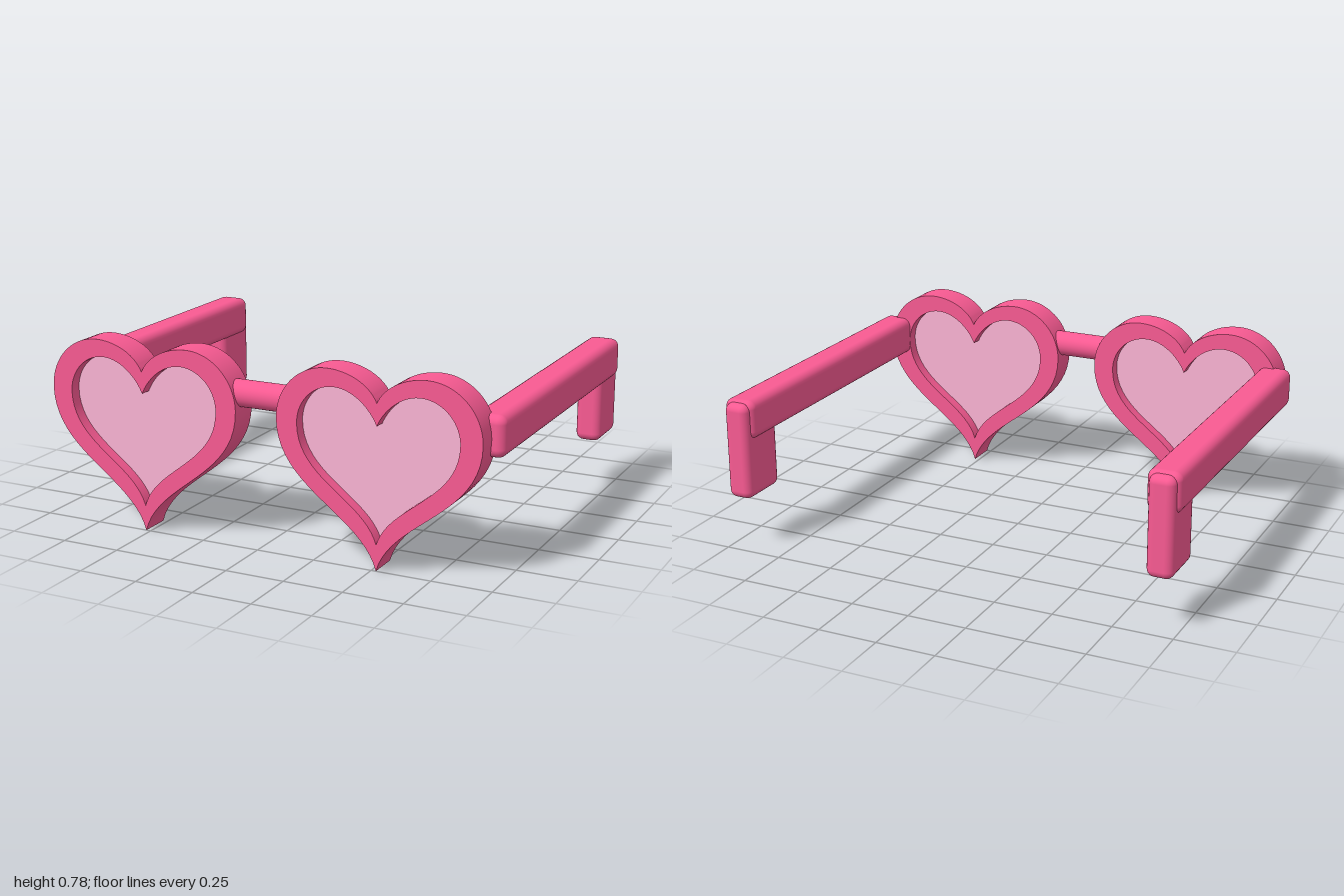
import * as THREE from 'three';
import { RoundedBoxGeometry } from 'three/addons/geometries/RoundedBoxGeometry.js';
import { toCreasedNormals } from 'three/addons/utils/BufferGeometryUtils.js';

const pink = new THREE.MeshStandardMaterial({ color: 0xf85a92 });
const palePink = new THREE.MeshStandardMaterial({ color: 0xfab3d3 });

// Heart outline, symmetric about x = 0, traced counter-clockwise.
function traceHeart(path, { notch, lobeX, top, width, midY, tip, tipPull }) {
  // Left-hand half from notch to tip: three bezier curves
  const half = [
    [-0.03, notch + 0.07, -lobeX * 0.57, top, -lobeX, top],
    [-lobeX - (width - lobeX) * 0.55, top, -width, midY + (top - midY) * 0.55, -width, midY],
    [-width, (midY + tip) * 0.5, -tipPull, tip + (midY - tip) * 0.39, 0, tip],
  ];
  path.moveTo(0, notch);
  for (const c of half) path.bezierCurveTo(...c);
  // Mirrored half, walked backwards from the tip to the notch
  const starts = [[0, notch], [-lobeX, top], [-width, midY]];
  for (let i = 2; i >= 0; i--) {
    const [ax, ay, bx, by] = half[i];
    path.bezierCurveTo(-bx, by, -ax, ay, -starts[i][0], starts[i][1]);
  }
  return path;
}

const outer = { notch: 0.67, lobeX: 0.21, top: 0.783, width: 0.43, midY: 0.56, tip: 0, tipPull: 0.06 };
const inner = { notch: 0.58, lobeX: 0.18, top: 0.712, width: 0.34, midY: 0.55, tip: 0.107, tipPull: 0.05 };

function extrude(shape, z0, z1) {
  const geometry = new THREE.ExtrudeGeometry(shape, { depth: z1 - z0, bevelEnabled: false, curveSegments: 20 });
  geometry.translate(0, 0, z0);
  return toCreasedNormals(geometry, 0.6);
}

function add(parent, name, geometry, material, x = 0, y = 0, z = 0) {
  const mesh = new THREE.Mesh(geometry, material);
  mesh.name = name;
  mesh.position.set(x, y, z);
  parent.add(mesh);
}

// Rounded box given by its minimum and maximum corners
function addRoundedBox(parent, name, min, max, radius) {
  const size = max.map((v, i) => v - min[i]);
  const mid = max.map((v, i) => (v + min[i]) / 2);
  add(parent, name, new RoundedBoxGeometry(...size, 3, radius), pink, ...mid);
}

export function createModel() {
  const model = new THREE.Group();
  model.name = 'heartGlasses';

  const rimShape = traceHeart(new THREE.Shape(), outer);
  rimShape.holes.push(traceHeart(new THREE.Path(), inner));
  const rim = extrude(rimShape, 0.62, 0.75);
  const lens = extrude(traceHeart(new THREE.Shape(), inner), 0.67, 0.7);

  for (const [side, s] of [['left', 1], ['right', -1]]) {
    // Heart rim with its recessed lens
    add(model, side + 'Rim', rim, pink, s * 0.52);
    add(model, side + 'Lens', lens, palePink, s * 0.52);

    // Temple arm and the downturned ear piece
    const arm = new THREE.Group();
    arm.name = side + 'Arm';
    arm.position.x = s * 0.93;
    addRoundedBox(arm, side + 'Temple', [-0.07, 0.488, -0.725], [0.07, 0.655, 0.665], 0.035);
    addRoundedBox(arm, side + 'EarPiece', [-0.055, 0.23, -0.75], [0.055, 0.645, -0.52], 0.033);
    model.add(arm);
  }

  // Bridge between the rims
  const bridge = new THREE.CylinderGeometry(0.055, 0.055, 0.26, 32);
  bridge.rotateZ(Math.PI / 2);
  add(model, 'bridge', bridge, pink, 0, 0.62, 0.685);

  return model;
}
